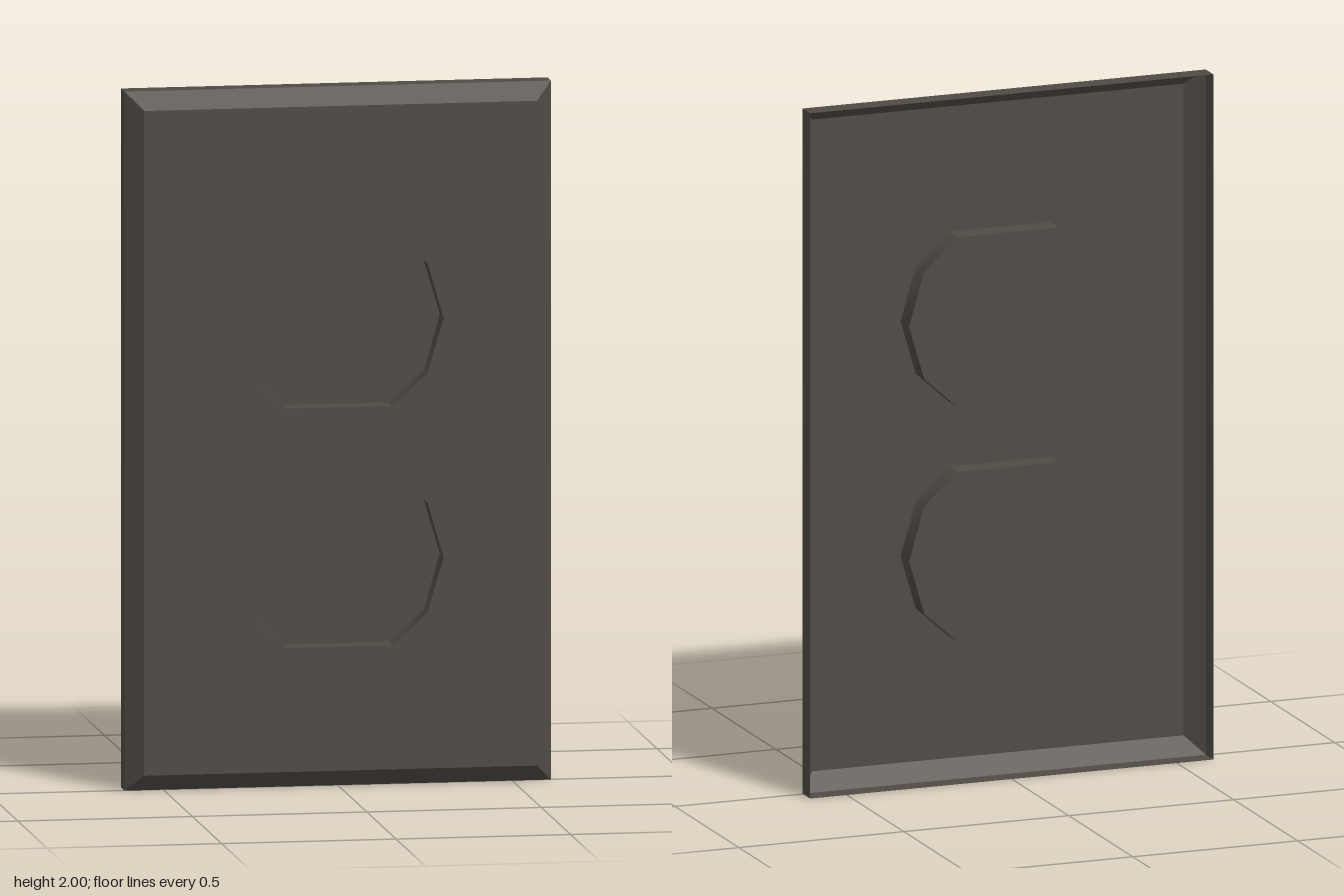
import * as THREE from 'three';
import { toCreasedNormals } from 'three/addons/utils/BufferGeometryUtils.js';

// Open band joining two closed outlines at different depths
function band(a, za, b, zb) {
  const pos = [];
  a.forEach((p, i) => {
    const j = (i + 1) % a.length, q = a[j], r = b[i], s = b[j];
    pos.push(p.x, p.y, za, q.x, q.y, za, s.x, s.y, zb);
    pos.push(p.x, p.y, za, s.x, s.y, zb, r.x, r.y, zb);
  });
  const g = new THREE.BufferGeometry();
  g.setAttribute('position', new THREE.Float32BufferAttribute(pos, 3));
  return toCreasedNormals(g, 0.65);
}

// Counter-clockwise rectangle centred on the plate
function rect(hw, hh) {
  return [[-1, -1], [1, -1], [1, 1], [-1, 1]].map(([x, y]) => new THREE.Vector2(x * hw, 1 + y * hh));
}

// Counter-clockwise ten-sided outlet outline
function outlet(cy) {
  const quarter = [[0.3, 0], [0.254, 0.157], [0.153, 0.248]];
  const [s, m, t] = quarter;
  return [s, m, t, [-t[0], t[1]], [-m[0], m[1]], [-s[0], 0],
    [-m[0], -m[1]], [-t[0], -t[1]], [t[0], -t[1]], [m[0], -m[1]]]
    .map(([x, y]) => new THREE.Vector2(x - 0.005, cy + y));
}

export function createModel() {
  const group = new THREE.Group();
  const plastic = new THREE.MeshStandardMaterial({ color: 0x514b45, side: THREE.DoubleSide });
  plastic.name = 'dark brown plastic';

  const add = (name, geometry, z = 0) => {
    const mesh = new THREE.Mesh(geometry, plastic);
    mesh.name = name;
    mesh.position.z = z;
    group.add(mesh);
  };

  const back = -0.055, shoulder = 0.004, front = 0.054, depth = 0.067;
  const outer = rect(0.611, 1), inner = rect(0.563, 0.951);

  // Rim and bevel of the hollow, open-backed plate
  add('sideRim', band(outer, back, outer, shoulder));
  add('bevel', band(outer, shoulder, inner, front));

  // Front panel with two openings
  const panel = new THREE.Shape(inner);
  const outlets = [outlet(1.337), outlet(0.652)];
  outlets.forEach((o) => panel.holes.push(new THREE.Path(o)));
  add('frontPanel', new THREE.ShapeGeometry(panel), front);

  // Recessed outlet pockets, standing out behind the panel
  outlets.forEach((o, i) => {
    const name = i === 0 ? 'upperOutlet' : 'lowerOutlet';
    add(name + 'Wall', band(o, front, o, front - depth));
    add(name + 'Floor', new THREE.ShapeGeometry(new THREE.Shape(o)), front - depth);
  });

  return group;
}
